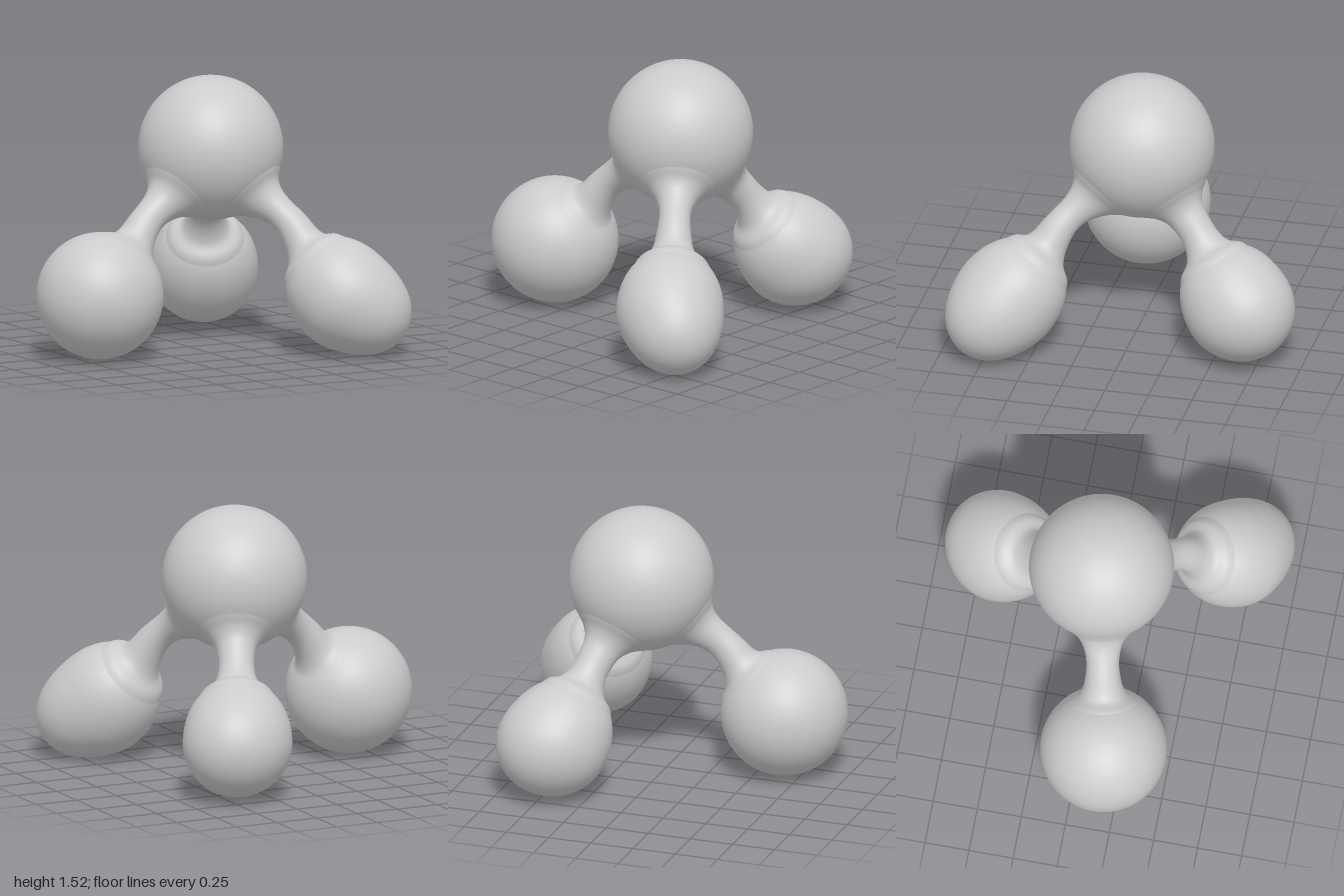
import * as THREE from 'three';
import { mergeVertices } from 'three/addons/utils/BufferGeometryUtils.js';

const material = new THREE.MeshStandardMaterial({ color: 0xcccccc });
const V = (x, y, z) => new THREE.Vector3(x, y, z);

const HEAD = V(0.145, 1.12, -0.01);
const HEAD_R = 0.405;

// Weld the seams and poles so that the shading is smooth all round
function smoothMesh(geometry, name) {
  geometry.deleteAttribute('uv');
  geometry.deleteAttribute('normal');
  const welded = mergeVertices(geometry, 1e-5);
  welded.computeVertexNormals();
  const mesh = new THREE.Mesh(welded, material);
  mesh.name = name;
  return mesh;
}

// A ball that swells softly towards each bulge direction
function ball(name, center, radius, bulges = []) {
  const geometry = new THREE.SphereGeometry(1, 72, 48);
  const p = geometry.attributes.position;
  const dir = V();
  for (let i = 0; i < p.count; i++) {
    dir.fromBufferAttribute(p, i).normalize();
    let r = radius;
    for (const b of bulges) r += b.amount * Math.max(0, dir.dot(b.dir)) ** b.power;
    dir.multiplyScalar(r);
    p.setXYZ(i, dir.x, dir.y, dir.z);
  }
  const mesh = smoothMesh(geometry, name);
  mesh.position.copy(center);
  return mesh;
}

// A waisted neck from the head to a foot, flared onto both and bowed upwards
function neck(name, foot, footR, waist, bow) {
  const axis = foot.clone().sub(HEAD);
  const length = axis.length();
  axis.normalize();

  // Radius along the axis, as [radius, distance from the head centre]
  const profile = [
    [0.262, 0.30], [0.205, 0.35], [0.155, 0.39], [0.115, 0.45], [waist, 0.55],
    ...[[0.29, 1.2], [0.33, 1.05], [0.39, 0.95], [0.55, 0.83], [0.65, 0.65]]
      .map(([r, e]) => [r * footR, length - e * footR]),
  ].map(([r, d]) => V(r, d, 0));
  const points = new THREE.CatmullRomCurve3(profile).getPoints(54)
    .map((q) => new THREE.Vector2(q.x, q.y));

  const geometry = new THREE.LatheGeometry(points, 48);
  geometry.applyQuaternion(new THREE.Quaternion().setFromUnitVectors(V(0, 1, 0), axis));

  // Bow the middle away from the straight line
  const lift = V(0, 1, 0).addScaledVector(axis, -axis.y).normalize();
  const start = profile[0].y;
  const end = profile[profile.length - 1].y;
  const p = geometry.attributes.position;
  const v = V();
  for (let i = 0; i < p.count; i++) {
    v.fromBufferAttribute(p, i);
    const u = (v.dot(axis) - start) / (end - start);
    v.addScaledVector(lift, bow * Math.sin(Math.PI * u) ** 2);
    p.setXYZ(i, v.x, v.y, v.z);
  }
  const mesh = smoothMesh(geometry, name);
  mesh.position.copy(HEAD);
  return mesh;
}

// Each foot: centre, radius, swelling towards the neck, and an outer bulge
const LEGS = [
  { name: 'rightLeg', foot: V(-0.645, 0.365, 0.15), r: 0.355, swell: 0, waist: 0.092, bow: 0.05 },
  {
    name: 'frontLeg', foot: V(0.64, 0.33, 0.65), r: 0.3, swell: 0.065, waist: 0.088, bow: 0.055,
    bulge: { dir: V(0.69, -0.51, 0.51).normalize(), amount: 0.095, power: 3 },
  },
  {
    name: 'backLeg', foot: V(0.435, 0.333, -0.63), r: 0.305, swell: 0.06, waist: 0.1, bow: 0.02,
    bulge: { dir: V(0.6, -0.1, -0.7).normalize(), amount: 0.03, power: 2 },
  },
];

export function createModel() {
  const model = new THREE.Group();
  model.name = 'threeLeggedBlob';
  model.add(ball('head', HEAD, HEAD_R));

  for (const { name, foot, r, swell, waist, bow, bulge } of LEGS) {
    const leg = new THREE.Group();
    leg.name = name;
    const bulges = [{ dir: HEAD.clone().sub(foot).normalize(), amount: swell, power: 2 }];
    if (bulge) bulges.push(bulge);
    leg.add(ball('foot', foot, r, bulges));
    leg.add(neck('neck', foot, r === 0.355 ? r : 0.357, waist, bow));
    model.add(leg);
  }
  return model;
}
